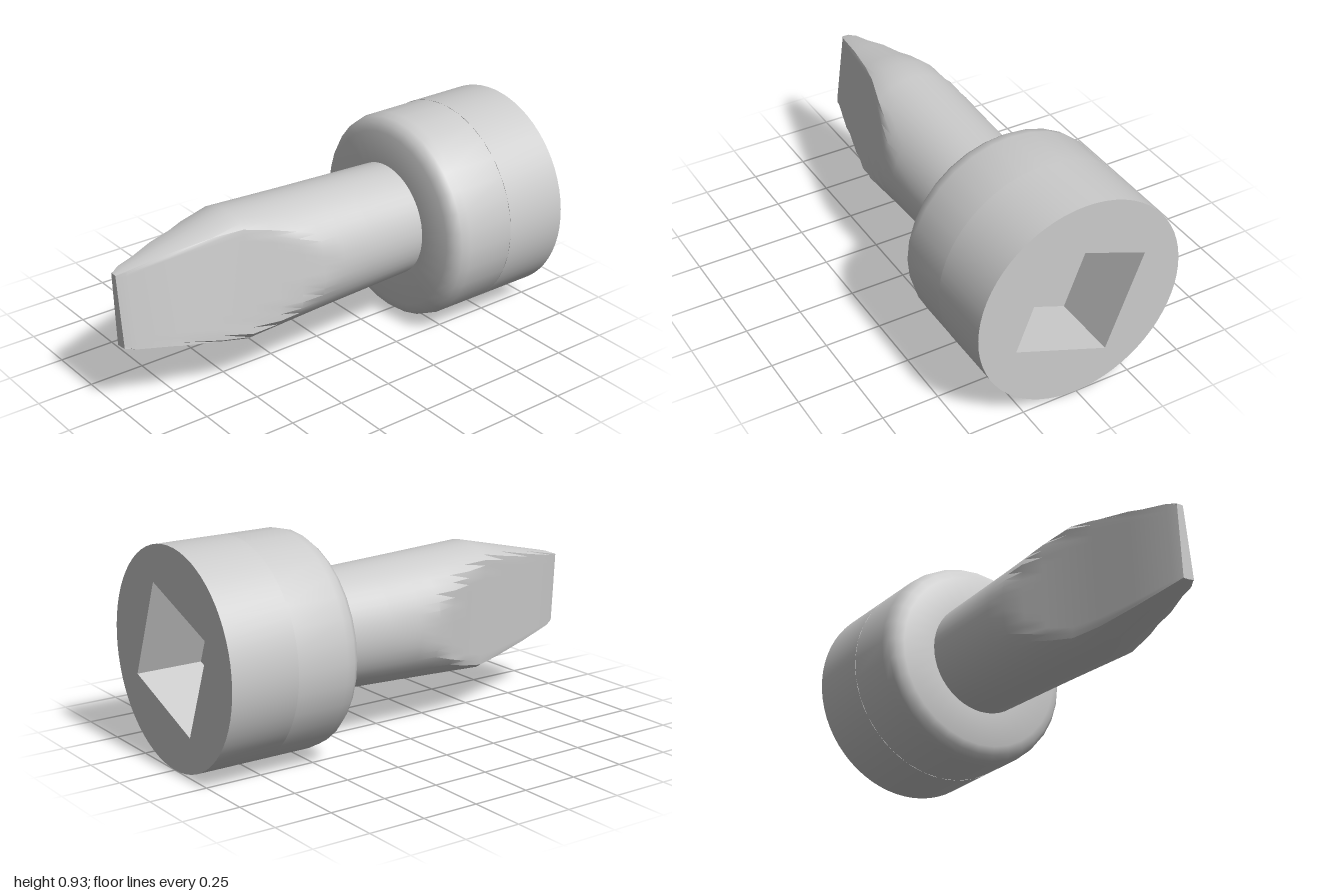
import * as THREE from 'three';
import { toCreasedNormals } from 'three/addons/utils/BufferGeometryUtils.js';

const CY = 0.465; // height of the long axis
const R = 0.464; // collar radius
const SIDES = 32;

// Linear interpolation through [z, value] pairs
function along(table, z) {
  for (let i = 1; i < table.length; i++) {
    const [z0, a] = table[i - 1], [z1, b] = table[i];
    if (z <= z1) return a + (b - a) * (z - z0) / (z1 - z0);
  }
  return table[table.length - 1][1];
}

// Round shaft whose sides are cut by two slightly tilted planes into a blade
function shaftGeometry() {
  const height = [[-0.42, 0.253], [0.47, 0.29], [0.96, 0.175], [1, 0.16]];
  const width = [[-0.42, 0.253], [0.1, 0.262], [0.47, 0.28], [1, 0.2]];
  const leftCut = [[-0.42, 0.4], [0.1, 0.27], [0.47, 0.165], [0.96, 0.05], [1, 0.03]];
  const rightCut = [[-0.42, -0.4], [0.1, -0.27], [0.47, -0.15], [0.96, -0.03], [1, -0.012]];
  const stations = [-0.42, -0.1, 0.05, 0.15, 0.25, 0.35, 0.47, 0.6, 0.78, 0.96, 1];
  const n = 48, pos = [], index = [];
  for (const z of stations) {
    const h = along(height, z), w = along(width, z);
    for (let i = 0; i < n; i++) {
      const a = i / n * Math.PI * 2;
      const y = h * Math.sin(a);
      const hi = along(leftCut, z) - 0.13 * y, lo = along(rightCut, z) - 0.06 * y;
      pos.push(Math.min(hi, Math.max(lo, w * Math.cos(a))), CY + 0.005 + y, z);
    }
  }
  for (let s = 0; s < stations.length - 1; s++) {
    for (let i = 0; i < n; i++) {
      const a = s * n + i, b = s * n + (i + 1) % n;
      index.push(a, b, b + n, a, b + n, a + n);
    }
  }
  // Tip cap
  const last = (stations.length - 1) * n, centre = pos.length / 3;
  pos.push(0.008, CY + 0.005, 1);
  for (let i = 0; i < n; i++) index.push(last + i, last + (i + 1) % n, centre);
  const g = new THREE.BufferGeometry();
  g.setAttribute('position', new THREE.Float32BufferAttribute(pos, 3));
  g.setIndex(index);
  return toCreasedNormals(g, 0.45);
}

// Solid front half of the collar with a rounded edge; its flat back is the socket floor
function collarFrontGeometry() {
  const profile = [
    [0, -0.7], [R, -0.7], [R, -0.47], [0.455, -0.43], [0.435, -0.405], [0.4, -0.39], [0.26, -0.378], [0, -0.378],
  ].map(([r, z]) => new THREE.Vector2(r, z));
  const g = new THREE.LatheGeometry(profile, SIDES);
  g.rotateX(Math.PI / 2);
  return toCreasedNormals(g, 0.6);
}

// Back half of the collar, pierced by a turned square socket
function collarBackGeometry() {
  const ring = new THREE.Shape().absarc(0, 0, R, 0, Math.PI * 2);
  const corners = [];
  for (let i = 0; i < 4; i++) {
    const a = THREE.MathUtils.degToRad(66 - i * 90);
    corners.push(new THREE.Vector2(0.32 * Math.cos(a), 0.32 * Math.sin(a)));
  }
  ring.holes.push(new THREE.Path(corners).closePath());
  const g = new THREE.ExtrudeGeometry(ring, { depth: 0.3, bevelEnabled: false, curveSegments: SIDES });
  g.translate(0, 0, -1);
  return toCreasedNormals(g, 0.6);
}

export function createModel() {
  const model = new THREE.Group();
  model.name = 'driverBit';
  const grey = new THREE.MeshStandardMaterial({ color: 0xcccccc });
  const add = (name, geometry, y) => {
    const mesh = new THREE.Mesh(geometry, grey);
    mesh.name = name;
    mesh.position.y = y;
    model.add(mesh);
  };
  add('bladeShaft', shaftGeometry(), 0);
  add('collarFront', collarFrontGeometry(), CY);
  add('collarSocket', collarBackGeometry(), CY);
  return model;
}
